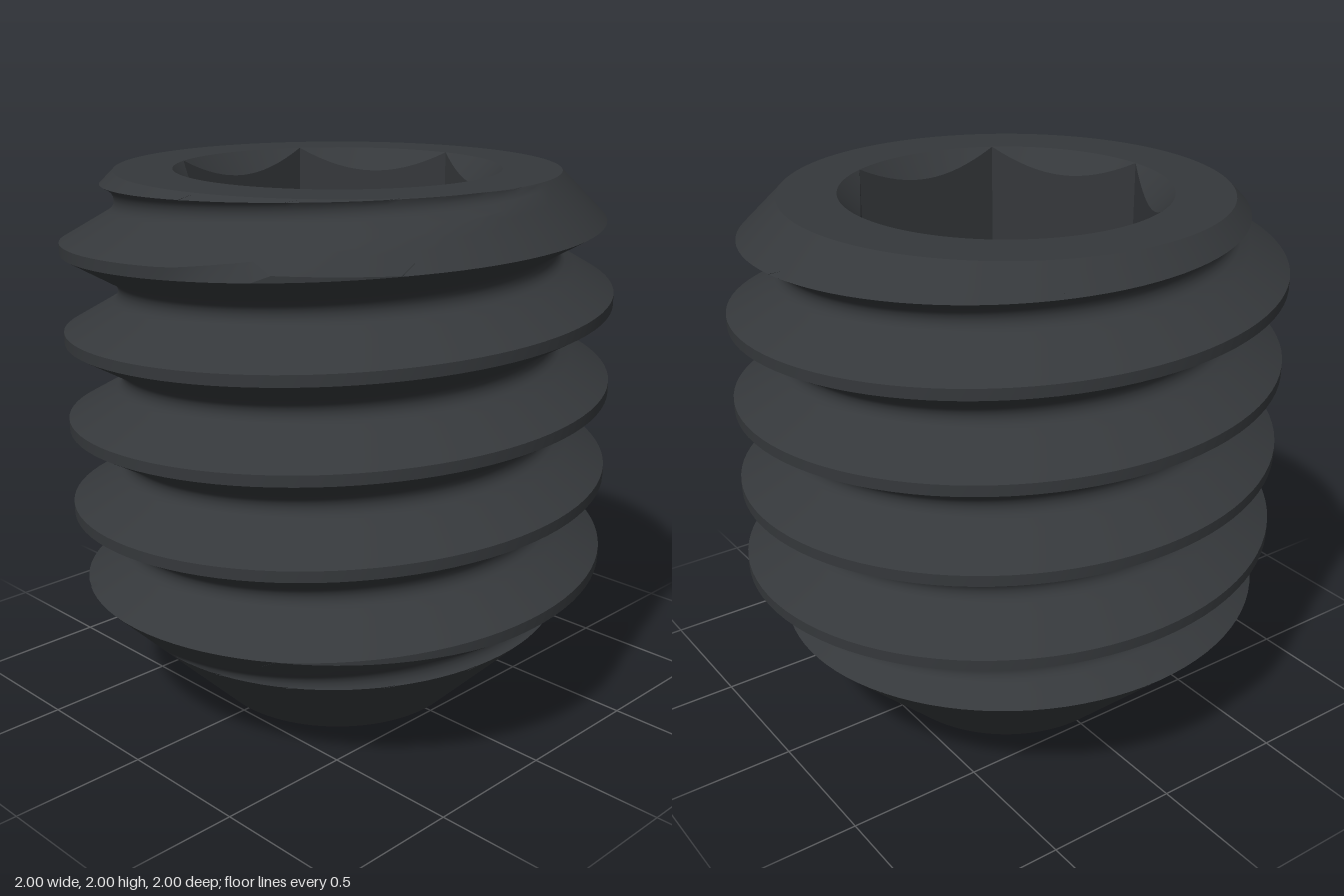
import * as THREE from 'three';
import { toCreasedNormals } from 'three/addons/utils/BufferGeometryUtils.js';

const SEGS = 96, HEIGHT = 2;
const PITCH = 0.323, CREST_Y = 0.637, CREST_HALF = 0.02, ROOT_R = 0.8;
const TIP_R = 0.475, CUP_DEPTH = 0.27;
const HEX_R = 0.59, SOCKET_FLOOR = 1.1;

// Sweeps a profile of [radius, y] points around the y axis; the profile may vary with the angle.
function sweep(profileAt) {
  const columns = [];
  for (let i = 0; i <= SEGS; i++) {
    const a = (i / SEGS) * Math.PI * 2, lap = (i % SEGS) / SEGS * Math.PI * 2;
    columns.push(profileAt(a).map(([r, y]) =>
      new THREE.Vector3(r * Math.cos(lap), y, -r * Math.sin(lap))));
  }
  const positions = [];
  const tri = new THREE.Triangle();
  const face = (a, b, c) => {
    tri.set(a, b, c);
    if (tri.getArea() > 1e-9) positions.push(...a, ...b, ...c);
  };
  for (let i = 0; i < SEGS; i++) {
    const p = columns[i], q = columns[i + 1];
    for (let j = 0; j < p.length - 1; j++) {
      face(p[j], q[j], q[j + 1]);
      face(p[j], q[j + 1], p[j + 1]);
    }
  }
  const geometry = new THREE.BufferGeometry();
  geometry.setAttribute('position', new THREE.Float32BufferAttribute(positions, 3));
  return toCreasedNormals(geometry, 0.5);
}

// One pitch of a 60 degree thread as [offset from crest, radius]: flat crest, flank, rounded root, flank.
function threadPitch() {
  const half = PITCH / 2;
  const vee = 1 - (half - CREST_HALF) * Math.sqrt(3);
  const fillet = ROOT_R - vee;
  const pts = [[-CREST_HALF, 1], [CREST_HALF, 1]];
  const tangent = [half - fillet * Math.cos(Math.PI / 6), vee + 1.5 * fillet];
  const flank = [1, 2, 3, 4].map(k => [
    THREE.MathUtils.lerp(CREST_HALF, tangent[0], k / 5),
    THREE.MathUtils.lerp(1, tangent[1], k / 5)]);
  pts.push(...flank);
  for (let k = 0; k <= 6; k++) {
    const a = (-60 + k * 20) * Math.PI / 180;
    pts.push([half + fillet * Math.sin(a), vee + 2 * fillet - fillet * Math.cos(a)]);
  }
  pts.push(...flank.reverse().map(([y, r]) => [PITCH - y, r]));
  return pts;
}

// Largest radius allowed by the 45 degree tip and head chamfers.
const chamfer = y => Math.min(TIP_R + y, ROOT_R + HEIGHT - y);

// Right-handed helix, trimmed by the chamfers with points placed on the exact crossing.
function threadProfile(angle) {
  const raw = [];
  for (let n = -3; n <= 4; n++) {
    const base = CREST_Y + PITCH * (n + angle / (Math.PI * 2));
    for (const [dy, r] of threadPitch()) raw.push([r, base + dy]);
  }
  const over = raw.map(([r, y]) => r - chamfer(y));
  const out = raw.map(([r, y]) => {
    const yc = THREE.MathUtils.clamp(y, 0, HEIGHT);
    return [yc === y ? Math.min(r, chamfer(y)) : chamfer(yc), yc];
  });
  for (let j = 0; j < raw.length - 1; j++) {
    if (over[j] * over[j + 1] >= 0) continue;
    const t = over[j] / (over[j] - over[j + 1]);
    const y = THREE.MathUtils.lerp(raw[j][1], raw[j + 1][1], t);
    if (y > 0 && y < HEIGHT) out[over[j] > 0 ? j : j + 1] = [chamfer(y), y];
  }
  return out;
}

// Hexagon socket whose mouth is opened by a conical countersink.
function socketProfile(angle) {
  const sixth = Math.PI / 3;
  const local = angle - Math.floor(angle / sixth + 1e-6) * sixth - sixth / 2;
  const r = Math.min(HEX_R, HEX_R * Math.cos(sixth / 2) / Math.cos(local));
  return [[HEX_R, HEIGHT], [r, HEIGHT - (HEX_R - r)], [r, SOCKET_FLOOR], [0, SOCKET_FLOOR]];
}

export function createModel() {
  const group = new THREE.Group();
  group.name = 'setScrew';
  const material = new THREE.MeshStandardMaterial({ color: 0x35383b });
  const parts = {
    threadedBody: threadProfile,
    cupPoint: () => [[0, CUP_DEPTH], [TIP_R, 0]],
    topRim: () => [[ROOT_R, HEIGHT], [HEX_R, HEIGHT]],
    hexSocket: socketProfile,
  };
  for (const [name, profile] of Object.entries(parts)) {
    const mesh = new THREE.Mesh(sweep(profile), material);
    mesh.name = name;
    group.add(mesh);
  }
  return group;
}
